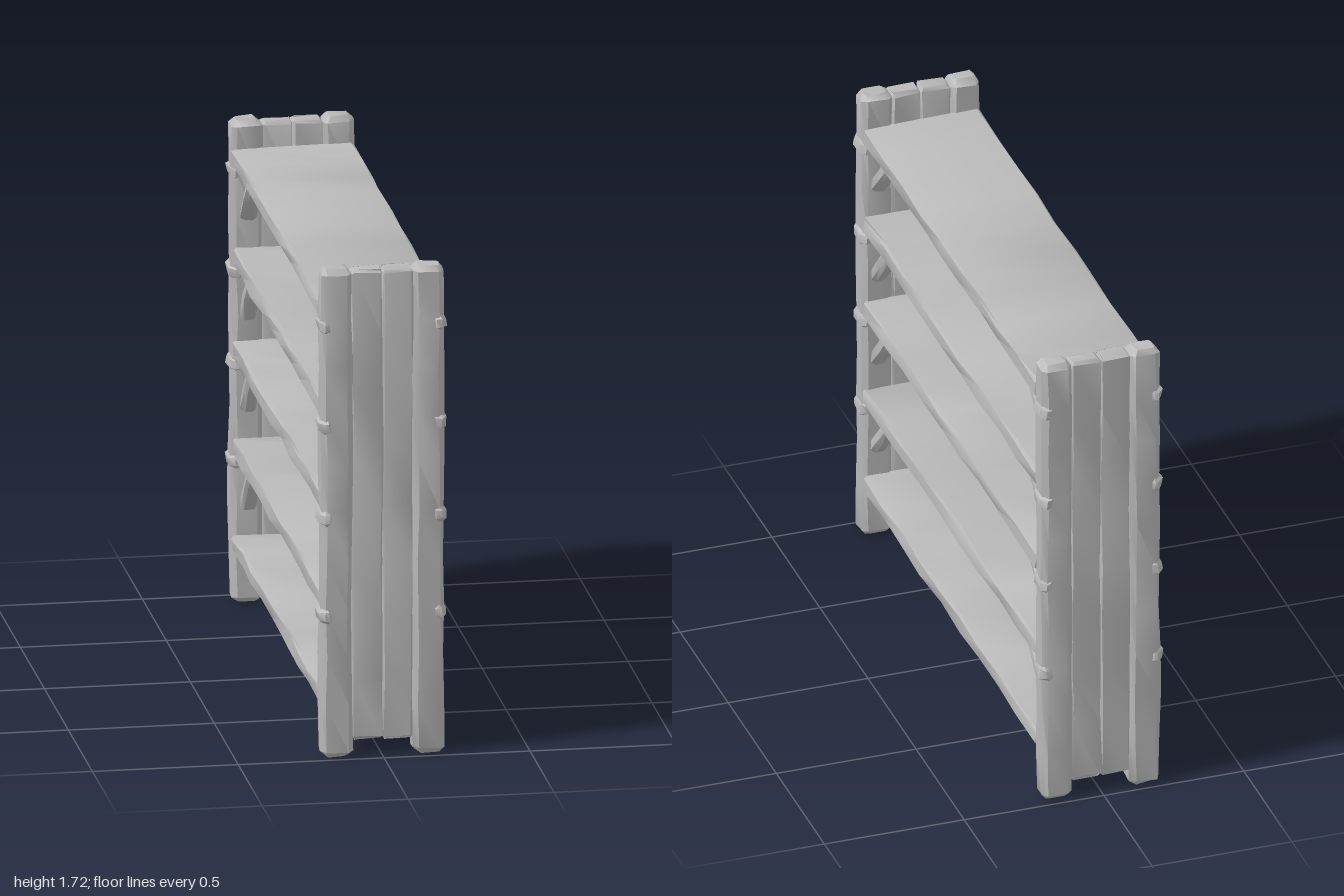
import * as THREE from 'three';
import { toCreasedNormals } from 'three/addons/utils/BufferGeometryUtils.js';

const wood = new THREE.MeshStandardMaterial({ color: 0xb8b8b8 });
wood.name = 'plain grey wood';

// Repeatable wobble in -1..1 from a position, so shared corners stay joined
function wobble(x, y, z, seed) {
  const s = Math.sin(x * 127.1 + y * 311.7 + z * 74.7 + seed * 19.3) * 437.5;
  return (s - Math.floor(s)) * 2 - 1;
}

// Rough hewn beam along z, from a chamfered section w by h; top and bottom corner cuts differ
function hewn(w, h, length, { steps = 6, top = 0.015, bottom = top, amount = 0.004, seed = 1, bevel = 0.012 } = {}) {
  const a = w / 2, b = h / 2;
  const section = new THREE.Shape([
    [-a + bottom, -b], [a - bottom, -b], [a, -b + bottom], [a, b - top],
    [a - top, b], [-a + top, b], [-a, b - top], [-a, -b + bottom],
  ].map(([x, y]) => new THREE.Vector2(x, y)));
  const geo = new THREE.ExtrudeGeometry(section, {
    depth: length - 2 * bevel, steps, bevelEnabled: true, bevelSegments: 1,
    bevelSize: bevel, bevelThickness: bevel, bevelOffset: -bevel,
  });
  geo.translate(0, 0, bevel - length / 2);
  const p = geo.attributes.position;
  for (let i = 0; i < p.count; i++) {
    const x = Math.round(p.getX(i) * 1e3) / 1e3;
    const y = Math.round(p.getY(i) * 1e3) / 1e3;
    const z = Math.round(p.getZ(i) * 1e3) / 1e3;
    p.setXYZ(i, x + amount * wobble(x, y, z, seed), y + amount * wobble(y, z, x, seed + 3),
      z + amount * wobble(z, x, y, seed + 7));
  }
  return toCreasedNormals(geo, 0.7);
}

function add(parent, name, geo, x, y, z) {
  const mesh = new THREE.Mesh(geo, wood);
  mesh.name = name;
  mesh.position.set(x, y, z);
  parent.add(mesh);
  return mesh;
}

// Upright beam standing from y0 to y1
function upright(parent, name, w, d, x, y0, y1, z, options) {
  const geo = hewn(w, d, y1 - y0, options).rotateX(-Math.PI / 2);
  return add(parent, name, geo, x, (y0 + y1) / 2, z);
}

export function createModel() {
  const model = new THREE.Group();
  model.name = 'shelfRack';
  const shelfTops = [0.24, 0.585, 0.93, 1.255, 1.605];

  // Shelf boards with undercut lower edges
  shelfTops.forEach((top, i) => {
    add(model, 'shelf', hewn(0.416, 0.086, 1.8, {
      steps: 9, top: 0.008, bottom: 0.032, amount: 0.005, seed: i + 2, bevel: 0.006,
    }), 0, top - 0.043, 0);
  });

  for (const end of [1, -1]) {
    const frame = new THREE.Group();
    frame.name = end > 0 ? 'frontFrame' : 'backFrame';
    model.add(frame);
    const height = end > 0 ? 1.72 : 1.7;

    // Corner posts
    for (const side of [1, -1]) {
      const x = side * 0.157;
      upright(frame, 'post', 0.108, 0.092, x, 0.005, height, end * 0.937, {
        steps: 10, top: 0.018, amount: 0.004, seed: side * 2 + end + 6, bevel: 0.018,
      });

      // Knots on the posts beside the shelves
      for (const top of shelfTops.slice(1)) {
        const y = top - 0.085;
        upright(frame, 'postKnot', 0.055, 0.1, side * 0.192, y - 0.028, y + 0.028, end * 0.938, {
          steps: 1, top: 0.02, amount: 0.004, seed: top * 5 + side, bevel: 0.014,
        });
      }

      // Slanted braces under the upper shelves
      for (const top of shelfTops.slice(1)) {
        const low = new THREE.Vector3(side * 0.155, top - 0.235, end * 0.9);
        const high = new THREE.Vector3(side * 0.155, top - 0.06, end * 0.735);
        const brace = add(frame, 'brace', hewn(0.055, 0.05, low.distanceTo(high), {
          steps: 2, top: 0.012, amount: 0.003, seed: top * 3 + end, bevel: 0.004,
        }), 0, 0, 0);
        brace.position.copy(low).lerp(high, 0.5);
        brace.lookAt(high);
      }
    }

    // End panel of two boards between the posts
    for (const side of [1, -1]) {
      upright(frame, 'endBoard', 0.106, 0.07, side * 0.052, 0.06, height - 0.008, end * 0.935, {
        steps: 8, top: 0.007, amount: 0.004, seed: side + end * 3 + 11, bevel: 0.01,
      });
    }
  }
  return model;
}
